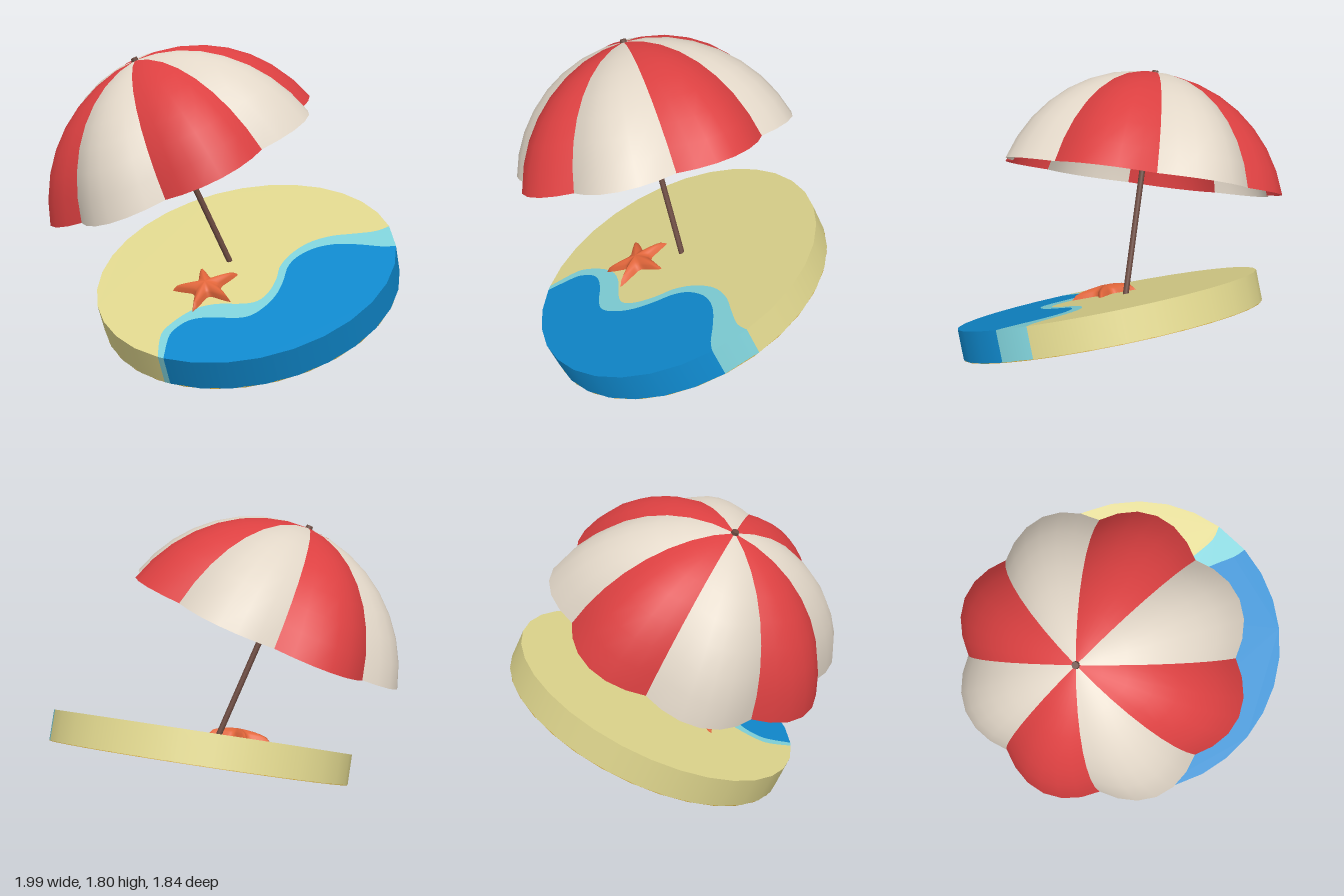
import * as THREE from 'three';

const mat = (name, color, side = THREE.FrontSide) => {
  const m = new THREE.MeshStandardMaterial({ color, side });
  m.name = name;
  return m;
};
const R = 0.88, THICK = 0.176;

// Shoreline curves on the island top, as [x, z] pairs
const sandShore = [[-.126, .877], [-.185, .735], [-.2, .645], [-.158, .516], [-.094, .426], [.003, .374], [.136, .349],
  [.217, .31], [.249, .22], [.243, .09], [.217, -.025], [.233, -.154], [.297, -.282], [.404, -.366], [.537, -.412],
  [.65, -.455], [.73, -.528]];
const waterShore = [[-.088, .877], [-.136, .735], [-.147, .658], [-.115, .567], [-.051, .516], [.045, .49], [.152, .477],
  [.233, .439], [.281, .348], [.302, .232], [.291, .104], [.265, -.025], [.281, -.13], [.35, -.23], [.457, -.289],
  [.591, -.308], [.74, -.31], [.832, -.334]];

function shoreline(pairs) {
  const pts = pairs.map(([x, z]) => new THREE.Vector2(x, -z));
  pts[0].setLength(R);
  pts[pts.length - 1].setLength(R);
  return new THREE.SplineCurve(pts).getPoints(50);
}

// Points on the rim strictly between two angles
function rim(a0, a1) {
  const n = Math.max(1, Math.round(Math.abs(a1 - a0) / (Math.PI / 16)));
  const out = [];
  for (let i = 1; i < n; i++) {
    const a = a0 + (a1 - a0) * i / n;
    out.push(new THREE.Vector2(R * Math.cos(a), R * Math.sin(a)));
  }
  return out;
}

// Slab of the island cut to an outline, with a smooth round rim
function slab(name, points, material) {
  const geo = new THREE.ExtrudeGeometry(new THREE.Shape(points), { depth: THICK, bevelEnabled: false });
  geo.rotateX(-Math.PI / 2).translate(0, -THICK, 0);
  const p = geo.attributes.position, n = geo.attributes.normal;
  for (let i = 0; i < p.count; i++) {
    const x = p.getX(i) / R, z = p.getZ(i) / R;
    if (Math.abs(n.getY(i)) < 0.5 && Math.hypot(x, z) > 0.998 && x * n.getX(i) + z * n.getZ(i) > 0.95) n.setXYZ(i, x, 0, z);
  }
  const mesh = new THREE.Mesh(geo, material);
  mesh.name = name;
  return mesh;
}

// Indexed grid surface from a point function; rows by cols
function grid(rows, cols, fn) {
  const pos = [], idx = [];
  for (let i = 0; i <= rows; i++) for (let j = 0; j <= cols; j++) pos.push(...fn(i / rows, j / cols));
  for (let i = 0; i < rows; i++) for (let j = 0; j < cols; j++) {
    const a = i * (cols + 1) + j, b = a + cols + 1;
    if (i > 0) idx.push(a, a + 1, b);
    idx.push(a + 1, b + 1, b);
  }
  const geo = new THREE.BufferGeometry();
  geo.setAttribute('position', new THREE.Float32BufferAttribute(pos, 3));
  geo.setIndex(idx);
  geo.computeVertexNormals();
  return geo;
}

// Five-armed starfish: rings shrinking toward a domed middle
function starfish(material) {
  const tips = [25, 86, 167, 236, 307].map(d => d * Math.PI / 180);
  const radius = a => {
    const k = tips.findIndex((t, i) => a >= t && a <= (tips[i + 1] ?? tips[0] + 2 * Math.PI) + 1e-6);
    const t0 = tips[k], t1 = tips[k + 1] ?? tips[0] + 2 * Math.PI;
    const f = Math.abs((a - t0) / (t1 - t0) - 0.5) * 2;
    return 0.085 + 0.132 * Math.pow(f, 2.6);
  };
  const geo = grid(8, 100, (s, t) => {
    const a = tips[0] + Math.min(t * 2 * Math.PI, 2 * Math.PI - 1e-7);
    const r = radius(a) * s;
    return [r * Math.cos(a), 0.05 * Math.sqrt(Math.max(0, 1 - s * s)) + 0.006 * (1 - s), r * Math.sin(a)];
  });
  // The grid winds downward for this sweep, so turn its faces up
  const n = geo.attributes.normal;
  if (n.getY(150) < 0) {
    geo.index.array.reverse();
    geo.computeVertexNormals();
  }
  const mesh = new THREE.Mesh(geo, material);
  mesh.name = 'starfish';
  mesh.position.set(-0.125, 0, 0.255);
  return mesh;
}

export function createModel() {
  const sand = mat('sand', 0xddd48c), foam = mat('shallow water', 0x7fd0d8), water = mat('deep water', 0x0f88cc);
  const base = mat('island underside', 0xcca844), orange = mat('starfish orange', 0xe0653a), wood = mat('dark wood', 0x6b4a40);
  const red = mat('red cloth', 0xdc4041, THREE.DoubleSide), cream = mat('cream cloth', 0xe2d7c8, THREE.DoubleSide);
  const model = new THREE.Group();
  model.name = 'beachIsland';

  // Tilted island
  const island = new THREE.Group();
  island.name = 'island';
  island.position.set(0.115, 0.535, -0.05);
  island.rotation.x = 24.5 * Math.PI / 180;
  const s = shoreline(sandShore), w = shoreline(waterShore);
  const ang = v => Math.atan2(v.y, v.x);
  const s0 = ang(s[0]), s1 = ang(s[50]), w0 = ang(w[0]), w1 = ang(w[50]);
  island.add(
    slab('sandBeach', [...s, ...rim(s1, s0 + 2 * Math.PI)], sand),
    slab('shallowWater', [...s, ...rim(s1, w1), ...w.slice().reverse(), ...rim(w0, s0)], foam),
    slab('deepWater', [...w, ...rim(w1, w0)], water),
    starfish(orange));
  const under = new THREE.Mesh(new THREE.CylinderGeometry(R - 0.002, R - 0.002, 0.004, 32), base);
  under.name = 'islandUnderside';
  under.position.y = -THICK - 0.001;
  island.add(under);
  model.add(island);

  // Parasol, leaning along its pole; origin at the canopy tip
  const parasol = new THREE.Group();
  parasol.name = 'parasol';
  const up = new THREE.Vector3(-0.307, 0.904, 0.295).normalize();
  const seam = new THREE.Vector3(0.67, 0.119, 0.328);
  seam.addScaledVector(up, -seam.dot(up)).normalize();
  parasol.quaternion.setFromRotationMatrix(
    new THREE.Matrix4().makeBasis(seam, up, new THREE.Vector3().crossVectors(seam, up)));
  parasol.position.set(-0.395, 1.722, 0.307);

  const pole = new THREE.Mesh(new THREE.CylinderGeometry(0.017, 0.017, 1.35, 12), wood);
  pole.name = 'pole';
  pole.position.y = -0.663;
  const knob = new THREE.Mesh(new THREE.CylinderGeometry(0.018, 0.022, 0.025, 12), wood);
  knob.name = 'knob';
  knob.position.y = 0.003;
  parasol.add(pole, knob);

  // Eight puffed canopy panels on a spherical cap
  const capR = 0.873, capAngle = 73 * Math.PI / 180;
  for (let k = 0; k < 8; k++) {
    const geo = grid(8, 6, (u, v) => {
      const phi = u * capAngle, a = (k + 1 - v) * Math.PI / 4;
      const r = capR * Math.sin(phi) * (0.9 + 0.1 * Math.sin(v * Math.PI));
      return [r * Math.cos(a), -capR * (1 - Math.cos(phi)), r * Math.sin(a)];
    });
    const panel = new THREE.Mesh(geo, k % 2 ? cream : red);
    panel.name = 'canopyPanel' + (k + 1);
    parasol.add(panel);
  }
  model.add(parasol);
  return model;
}
